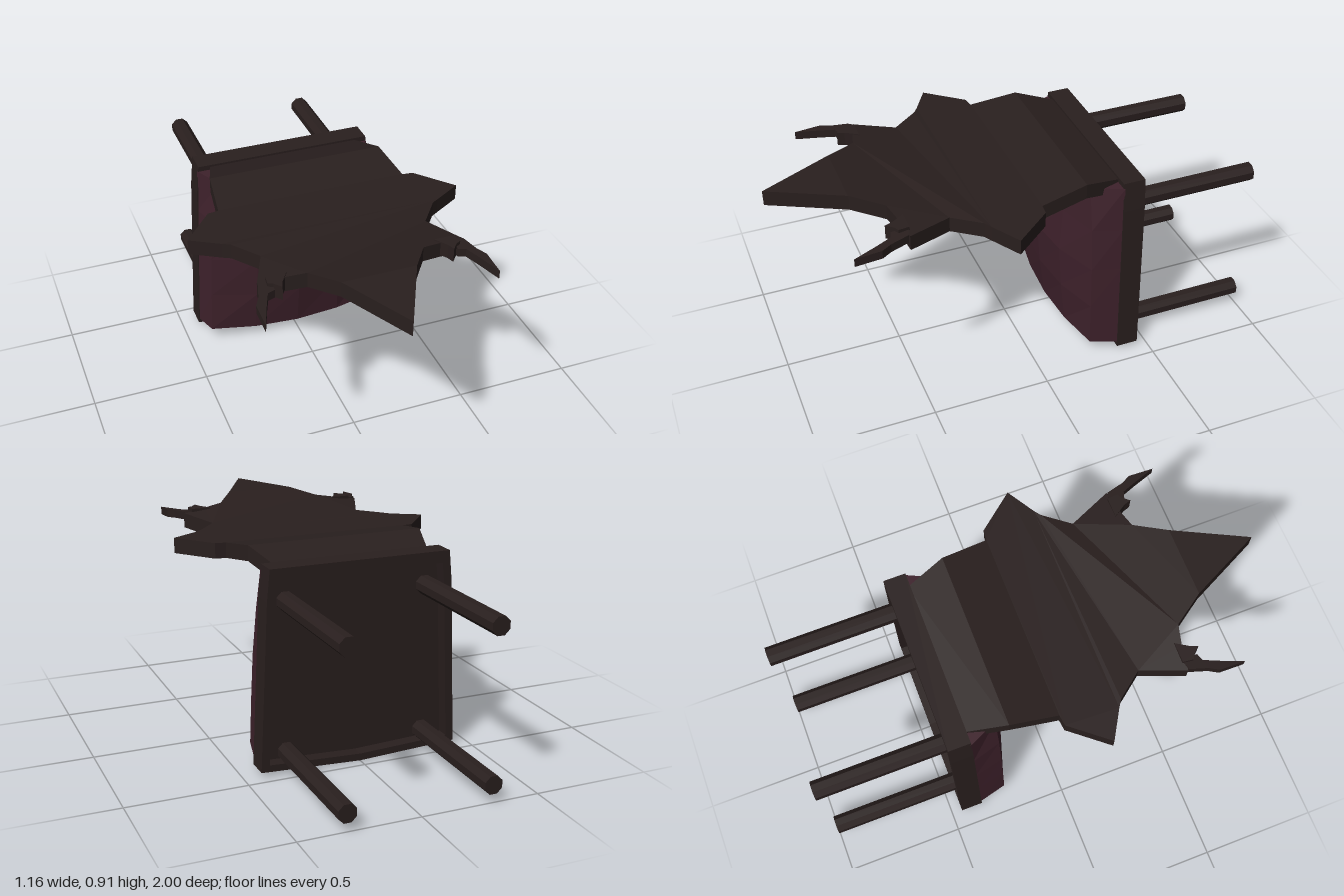
import * as THREE from 'three';

const wood = new THREE.MeshStandardMaterial({ color: 0x291f1e });
wood.name = 'dark wood';
const fabric = new THREE.MeshStandardMaterial({ color: 0x3e212b });
fabric.name = 'plum fabric';

// Mesh with faceted normals
function part(name, geometry, material) {
  const geo = geometry.index ? geometry.toNonIndexed() : geometry;
  geo.computeVertexNormals();
  const mesh = new THREE.Mesh(geo, material);
  mesh.name = name;
  return mesh;
}

// Move every vertex by a rule
function reshape(geo, rule) {
  const p = geo.attributes.position;
  const v = new THREE.Vector3();
  for (let i = 0; i < p.count; i++) {
    v.fromBufferAttribute(p, i);
    rule(v);
    p.setXYZ(i, v.x, v.y, v.z);
  }
  return geo;
}

const toShape = pts => new THREE.Shape(pts.map(([x, y]) => new THREE.Vector2(x, y)));
const mirrored = half => [...half, ...half.filter(p => p[0] > 0).reverse().map(([x, y]) => [-x, y])];

// Height of the backrest's upper face: a wave along z that drops to the sides near the tip
const crest = [[-0.4, 0.83], [-0.2, 0.885], [0, 0.853], [0.23, 0.853], [0.55, 0.893], [0.7, 0.914], [1.01, 0.914]];
function crestHeight(x, z) {
  const i = crest.findIndex(c => z <= c[0]);
  const [z0, y0] = crest[i - 1], [z1, y1] = crest[i];
  const drop = z > 0.3 ? 0.11 * Math.max(0, Math.abs(x) - 0.2) : 0;
  return y0 + (y1 - y0) * (z - z0) / (z1 - z0) - drop;
}

// Horizontal plate from an x, z outline; top gives the upper height at x, z
function plate(outline, thickness, top) {
  const geo = new THREE.ExtrudeGeometry(toShape(outline), { depth: thickness, bevelEnabled: false });
  geo.rotateX(Math.PI / 2);
  return reshape(geo, v => { v.y += top(v.x, v.z); });
}

export function createModel() {
  const chair = new THREE.Group();
  chair.name = 'chair';

  // Seat frame with a recessed underside
  const frameShape = toShape(mirrored([[0, 0], [0.43, 0.02], [0.398, 0.72], [0.385, 0.85]]));
  frameShape.holes.push(new THREE.Path(
    mirrored([[0, 0.03], [0.395, 0.047], [0.365, 0.70], [0.355, 0.80]]).map(([x, y]) => new THREE.Vector2(x, y))));
  const frame = part('seatFrame', new THREE.ExtrudeGeometry(frameShape, { depth: 0.095, bevelEnabled: false }), wood);
  frame.position.z = -0.455;
  chair.add(frame);

  const panelShape = toShape(mirrored([[0, 0.02], [0.4, 0.035], [0.365, 0.83]]));
  const panel = part('seatPanel', new THREE.ExtrudeGeometry(panelShape, { depth: 0.02, bevelEnabled: false }), wood);
  panel.position.z = -0.4;
  chair.add(panel);

  // Domed seat cushion
  const bulge = [0.042, 0.07, 0.085, 0.065, 0.02];
  const cushion = reshape(new THREE.BoxGeometry(2, 1, 1, 4, 4, 1), v => {
    const u = v.x, t = v.y + 0.5, front = v.z > 0;
    if (front) {
      v.x = u * (0.40 - 0.03 * t - 0.04 * t ** 4);
      v.y = 0.042 + 0.02 * u * u + t * (0.785 - 0.02 * u * u);
      v.z = -0.24 + bulge[Math.round(t * 4)] * (1 - u * u);
    } else {
      v.x = u * (0.426 - 0.036 * t);
      v.y = 0.022 + 0.018 * u * u + t * (0.806 - 0.018 * u * u);
      v.z = -0.365;
    }
  });
  chair.add(part('seatCushion', cushion, fabric));

  // Four straight legs
  for (const x of [-0.302, 0.302]) {
    for (const y of [0.072, 0.703]) {
      const geo = new THREE.CylinderGeometry(0.04, 0.04, 0.61, 8);
      geo.rotateY(Math.PI / 8);
      geo.rotateX(Math.PI / 2);
      const leg = part('leg', geo, wood);
      leg.position.set(x, y, -0.695);
      chair.add(leg);
    }
  }

  // Jagged backrest, bent between successive bands
  const backrest = new THREE.Group();
  backrest.name = 'backrest';
  const bands = [
    [[0.33, -0.37], [0.38, -0.2]],
    [[0.38, -0.2], [0.405, 0]],
    [[0.405, 0], [0.45, 0.005], [0.578, 0.16], [0.46, 0.23]],
    [[0.46, 0.23], [0.43, 0.25], [0.345, 0.36], [0.42, 0.54], [0.32, 0.555], [0.235, 0.575], [0.15, 0.7]],
    [[0.15, 0.7], [0, 1]],
  ];
  for (const band of bands) {
    backrest.add(part('backrestBand', plate(mirrored(band), 0.065, crestHeight), wood));
  }

  // Curled thorns on both sides of the top
  const root = [[0.3, 0.53], [0.385, 0.53], [0.39, 0.575], [0.37, 0.585], [0.345, 0.615], [0.335, 0.585]];
  const thorn = [[0.37, 0.53], [0.418, 0.545], [0.44, 0.62], [0.462, 0.66], [0.462, 0.768], [0.425, 0.67], [0.4, 0.61], [0.37, 0.6]];
  for (const side of [-1, 1]) {
    const flip = pts => pts.map(([x, z]) => [x * side, z]);
    backrest.add(part('thornRoot', plate(flip(root), 0.06, () => 0.885), wood));
    backrest.add(part('thorn', plate(flip(thorn), 0.035, (x, z) => 0.873 - 0.08 * (z - 0.54)), wood));
  }
  chair.add(backrest);
  return chair;
}
